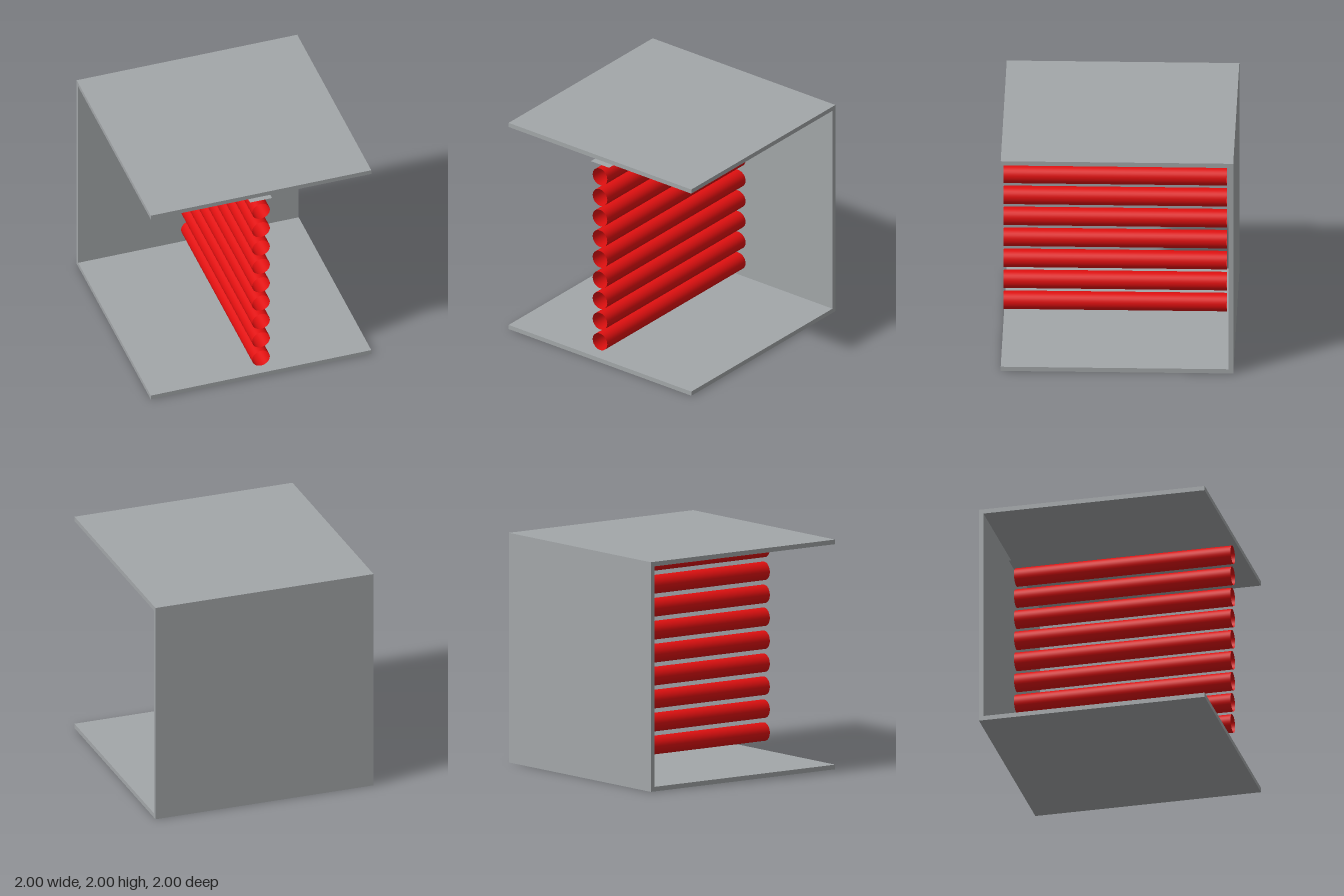
import * as THREE from 'three';

const grey = new THREE.MeshStandardMaterial({ name: 'greyPanel', color: 0xa3a7a9 });
const greySheet = grey; // sheet uses the same colour, seen from both sides
greySheet.side = THREE.DoubleSide;
const red = new THREE.MeshStandardMaterial({ name: 'redTube', color: 0xe01010, side: THREE.DoubleSide });

const T = 0.04; // panel thickness

export function createModel() {
  const model = new THREE.Group();
  model.name = 'tubeRack';

  const add = (name, geometry, material, x, y, z) => {
    const mesh = new THREE.Mesh(geometry, material);
    mesh.name = name;
    mesh.position.set(x, y, z);
    model.add(mesh);
    return mesh;
  };

  // C-shaped housing, open at the front and both sides
  const plate = new THREE.BoxGeometry(2, T, 2);
  add('floorPanel', plate, grey, 0, T / 2, 0);
  add('ceilingPanel', plate, grey, 0, 2 - T / 2, 0);
  add('backPanel', new THREE.BoxGeometry(2, 2 - 2 * T, T), grey, 0, 1, -1 + T / 2);

  // Narrow sheet hanging just below the ceiling
  const sheet = new THREE.PlaneGeometry(0.2, 1.96).rotateX(Math.PI / 2);
  add('ceilingStrip', sheet, greySheet, 0, 1.92, 0.02);

  // Stack of open-ended tubes running front to back
  const length = 1.92;
  const tube = new THREE.CylinderGeometry(0.08, 0.08, length, 32, 1, true).rotateX(Math.PI / 2);
  for (let i = 1; i <= 9; i++) add(`tube${i}`, tube, red, 0, i * 0.2, 1 - length / 2);

  return model;
}
